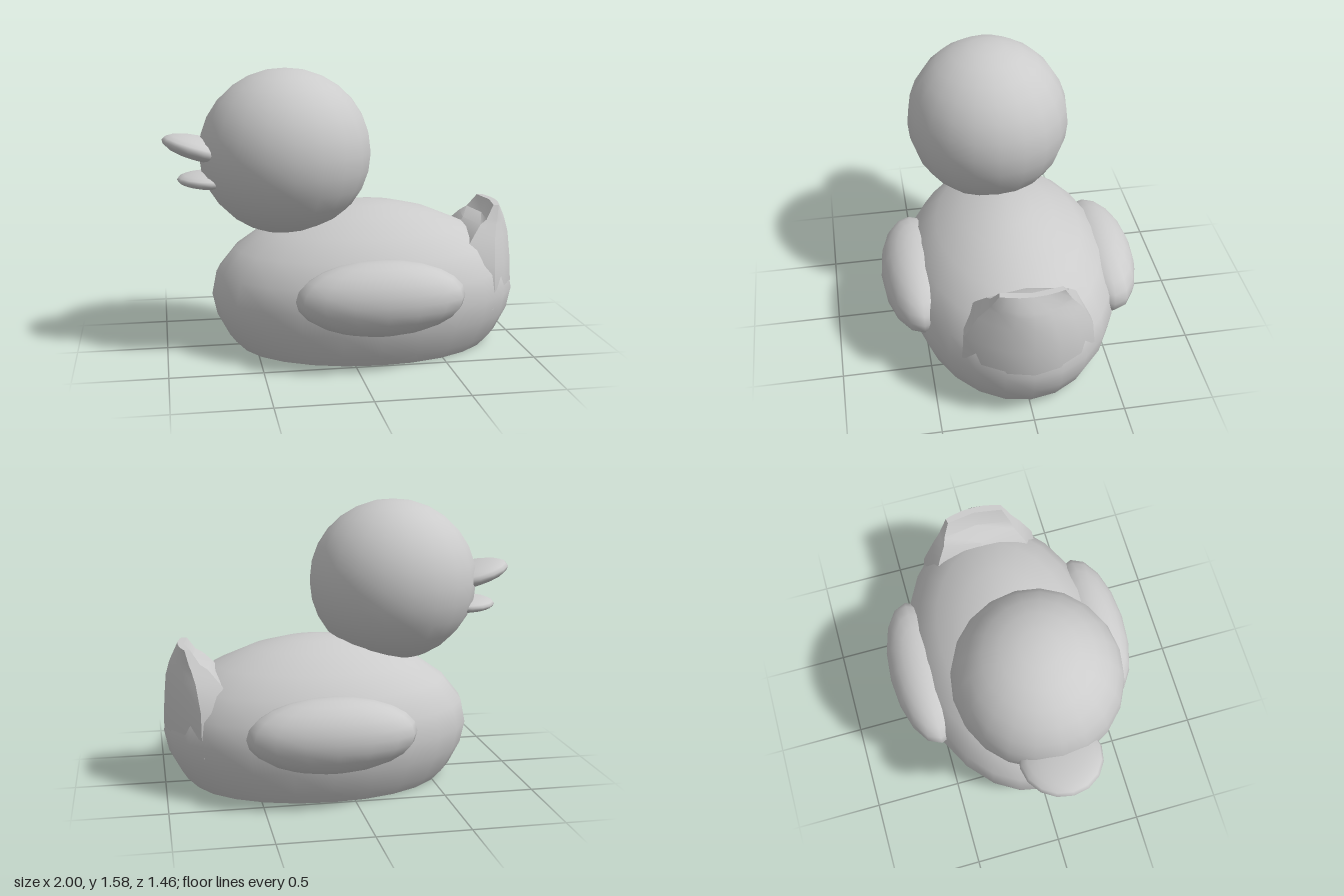
import * as THREE from 'three';
import { toCreasedNormals } from 'three/addons/utils/BufferGeometryUtils.js';

const material = new THREE.MeshStandardMaterial({ color: 0xcccccc });

function addMesh(parent, name, geometry) {
  const mesh = new THREE.Mesh(geometry, material);
  mesh.name = name;
  parent.add(mesh);
  return mesh;
}

// Smooth ellipsoid from centre and half sizes
function addEllipsoid(parent, name, centre, radii, cols = 20, rows = 14) {
  const mesh = addMesh(parent, name, new THREE.SphereGeometry(1, cols, rows));
  mesh.position.set(...centre);
  mesh.scale.set(...radii);
  return mesh;
}

// Upturned tail: stacked rings, bowed at the back and notched at the front
function tailGeometry() {
  // height, back x, side x, half width, front side x, front middle x
  const sections = [
    [0.25, 0.98, 0.80, 0.36, 0.55, 0.55],
    [0.36, 0.998, 0.81, 0.36, 0.58, 0.58],
    [0.50, 0.992, 0.81, 0.345, 0.60, 0.60],
    [0.64, 0.98, 0.83, 0.275, 0.70, 0.66],
    [0.71, 0.96, 0.85, 0.225, 0.76, 0.72],
    [0.735, 0.95, 0.86, 0.21, 0.80, 0.83],
    [0.81, 0.91, 0.88, 0.17, 0.85, 0.875],
  ];
  const across = [1, 0.75, 0.4, 0, -0.4, -0.75, -1];
  const rings = sections.map(([y, back, side, w, frontSide, front]) => [
    ...across.map((t) => [back - (back - side) * t * t, y, w * t]),
    [frontSide, y, -w * 0.97],
    [front, y, 0],
    [frontSide, y, w * 0.97],
  ]);
  const n = rings[0].length;
  const positions = rings.flat(2);
  const index = [];
  for (let r = 0; r < rings.length - 1; r++) {
    for (let i = 0; i < n; i++) {
      const a = r * n + i, b = r * n + ((i + 1) % n);
      index.push(a, b, a + n, b, b + n, a + n);
    }
  }
  // Narrow cap along the top edge, fanned from the front middle
  const top = (rings.length - 1) * n;
  for (let i = 0; i < n; i++) {
    const a = top + i, b = top + ((i + 1) % n);
    if (i !== 7 && i !== 8) index.push(top + 8, a, b);
  }
  const geometry = new THREE.BufferGeometry();
  geometry.setAttribute('position', new THREE.Float32BufferAttribute(positions, 3));
  geometry.setIndex(index);
  return toCreasedNormals(geometry, 0.65);
}

export function createModel() {
  const group = new THREE.Group();

  // Oval body with a flat base
  const profile = [
    [0, 0.01], [0.82, 0.01], [0.89, 0.07], [0.97, 0.2], [1, 0.32], [0.97, 0.45],
    [0.85, 0.58], [0.67, 0.69], [0.42, 0.78], [0.22, 0.82], [0, 0.84],
  ].map(([r, y]) => new THREE.Vector2(r, y));
  const bodyGeometry = new THREE.LatheGeometry(profile, 24);
  bodyGeometry.scale(0.87, 1, 0.6);
  const body = addMesh(group, 'body', toCreasedNormals(bodyGeometry, 0.8));
  body.position.x = 0.13;

  addMesh(group, 'tail', tailGeometry());

  // Wings on both flanks
  for (const s of [1, -1]) {
    addEllipsoid(group, s > 0 ? 'frontWing' : 'backWing', [0.13, 0.4, s * 0.53], [0.46, 0.205, 0.2], 16, 12);
  }

  // Round head with an open two-part beak
  addEllipsoid(group, 'head', [-0.32, 1.13, 0.04], [0.478, 0.46, 0.462]);
  const upper = addEllipsoid(group, 'upperBeak', [-0.775, 1.15, 0.035], [0.23, 0.065, 0.22], 16, 10);
  upper.rotation.z = -0.26;
  const lower = addEllipsoid(group, 'lowerBeak', [-0.74, 0.98, 0.035], [0.18, 0.047, 0.2], 16, 10);
  lower.rotation.z = -0.03;

  return group;
}
